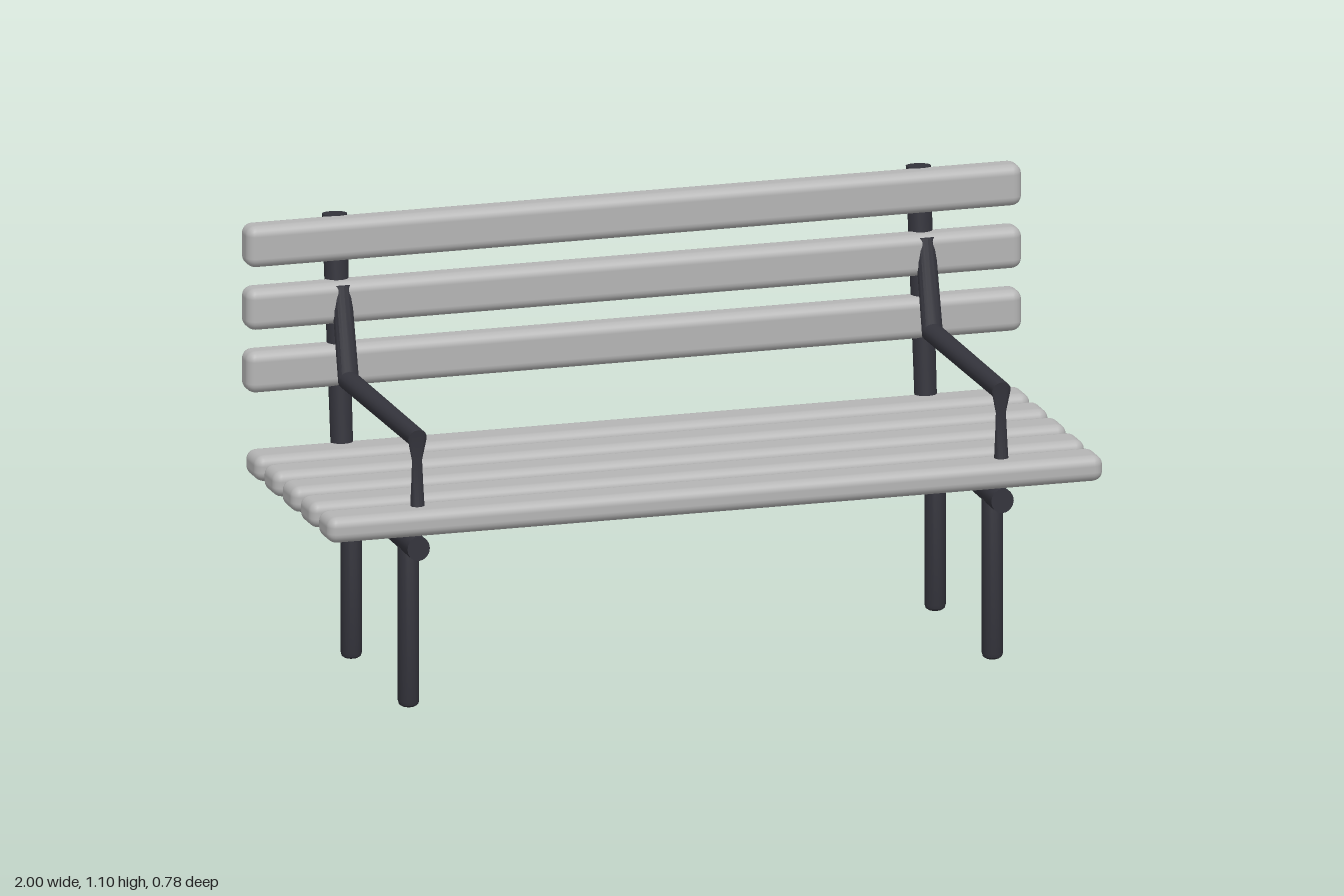
import * as THREE from 'three';
import { toCreasedNormals } from 'three/addons/utils/BufferGeometryUtils.js';
import { RoundedBoxGeometry } from 'three/addons/geometries/RoundedBoxGeometry.js';

const SIDES = 16;

// Round bar with mitred joints. Each ring is [z, y, half z, half y, half x]:
// its centre, the half axis seen from the side, and the radius across.
function bar(rings) {
  const pos = [], index = [];
  for (const [z, y, hz, hy, rx] of rings) {
    for (let j = 0; j < SIDES; j++) {
      const a = (j / SIDES) * Math.PI * 2;
      pos.push(Math.sin(a) * rx, y + Math.cos(a) * hy, z + Math.cos(a) * hz);
    }
  }
  const last = (rings.length - 1) * SIDES;
  const start = rings.length * SIDES;
  for (const [z, y] of [rings[0], rings[rings.length - 1]]) pos.push(0, y, z);
  for (let j = 0; j < SIDES; j++) {
    const k = (j + 1) % SIDES;
    for (let r = 0; r < last; r += SIDES) {
      index.push(r + j, r + k, r + SIDES + j, r + k, r + SIDES + k, r + SIDES + j);
    }
    index.push(start, k, j, start + 1, last + j, last + k);
  }
  const geo = new THREE.BufferGeometry();
  geo.setAttribute('position', new THREE.Float32BufferAttribute(pos, 3));
  geo.setIndex(index);
  return toCreasedNormals(geo, 0.6);
}

export function createModel() {
  const slatGrey = new THREE.MeshStandardMaterial({ color: 0xb5b5b5 });
  slatGrey.name = 'slat grey';
  const frameDark = new THREE.MeshStandardMaterial({ color: 0x34343c });
  frameDark.name = 'frame dark';

  const bench = new THREE.Group();
  bench.name = 'bench';
  const add = (parent, name, geo, mat, x, y, z) => {
    const mesh = new THREE.Mesh(geo, mat);
    mesh.name = name;
    mesh.position.set(x, y, z);
    parent.add(mesh);
  };

  // Seat and back slats
  const seatSlat = new RoundedBoxGeometry(2, 0.066, 0.105, 3, 0.025);
  for (let i = 0; i < 5; i++) add(bench, 'seatSlat', seatSlat, slatGrey, 0, 0.497, 0.34 - i * 0.151);
  const backSlat = new RoundedBoxGeometry(2, 0.106, 0.073, 3, 0.025);
  for (let i = 0; i < 3; i++) add(bench, 'backSlat', backSlat, slatGrey, 0, 0.725 + i * 0.16, -0.317);

  // Leg with softened ends
  const legProfile = [
    [0, 0], [0.017, 0], [0.024, 0.005], [0.0265, 0.014],
    [0.0265, 0.483], [0.024, 0.492], [0.017, 0.497], [0, 0.497],
  ].map(([r, y]) => new THREE.Vector2(r, y));
  const leg = toCreasedNormals(new THREE.LatheGeometry(legProfile, SIDES), 0.6);

  // Seat rail bending up into the back post
  const railAndPost = bar([
    [0.34, 0.422, 0, 0.031, 0.029],
    [-0.287, 0.421, 0.02, 0.022, 0.028],
    [-0.359, 1.097, 0.032, 0.003, 0.031],
  ]);

  // Armrest: pinched front support, level arm, then a rise into the back
  const armrest = bar([
    [0.33, 0.5, 0.02, 0, 0.019],
    [0.326, 0.645, 0.003, 0, 0.013],
    [0.3295, 0.701, 0.0095, 0.024, 0.024],
    [-0.2425, 0.701, 0.0095, 0.024, 0.027],
    [-0.305, 0.931, 0.025, 0, 0.025],
  ]);

  for (const side of [1, -1]) {
    const frame = new THREE.Group();
    frame.name = side > 0 ? 'leftFrame' : 'rightFrame';
    frame.position.x = side * 0.753;
    add(frame, 'frontLeg', leg, frameDark, 0, 0, 0.255);
    add(frame, 'backLeg', leg, frameDark, 0, 0, -0.22);
    add(frame, 'railAndBackPost', railAndPost, frameDark, 0, 0, 0);
    add(frame, 'armrest', armrest, frameDark, 0, 0, 0);
    bench.add(frame);
  }
  return bench;
}
